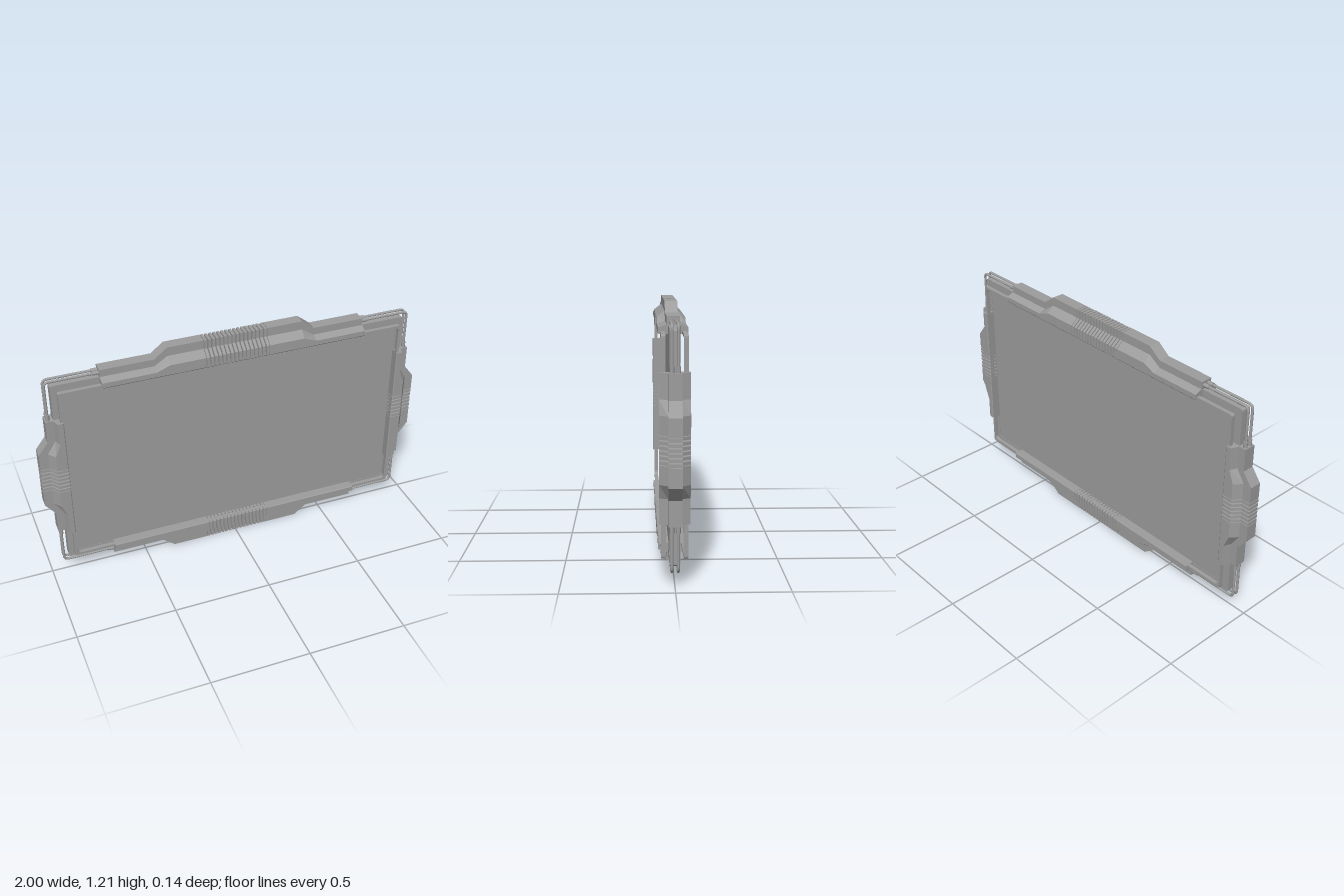
import * as THREE from 'three';

const CY = 0.605; // height of the panel centre

// Cross-section levels as [half depth, distance outward from the inner edge]
const END = [[0.065, 0], [0.068, 0.004], [0.068, 0.029], [0.03, 0.043], [0.03, 0.08]];
const MID = [[0.065, 0], [0.068, 0.004], [0.068, 0.055], [0.03, 0.085], [0.03, 0.13]];

const GREY = 0x9d9d9d;
const mat = new THREE.MeshStandardMaterial({ color: GREY, flatShading: true });
const smooth = new THREE.MeshStandardMaterial({ color: GREY });

function add(parent, name, geometry, material = mat) {
  const mesh = new THREE.Mesh(geometry, material);
  mesh.name = name;
  parent.add(mesh);
  return mesh;
}

// Solid lofted along x through stations [x, levels], starting at height `inner`
function loft(stations, inner) {
  const pos = [];
  const quad = (a, b, c, d) => pos.push(...a, ...b, ...c, ...a, ...c, ...d);
  const rings = stations.map(([x, levels]) => [
    ...levels.map(([w, h]) => [x, inner + h, w]),
    ...[...levels].reverse().map(([w, h]) => [x, inner + h, -w]),
  ]);
  const n = rings[0].length;
  for (let s = 0; s < rings.length - 1; s++) {
    for (let i = 0; i < n; i++) {
      const j = (i + 1) % n;
      quad(rings[s][i], rings[s + 1][i], rings[s + 1][j], rings[s][j]);
    }
  }
  const first = rings[0], last = rings[rings.length - 1];
  for (let k = 0; k < n / 2 - 1; k++) {
    quad(last[k], last[n - 1 - k], last[n - 2 - k], last[k + 1]);
    quad(first[k + 1], first[n - 2 - k], first[n - 1 - k], first[k]);
  }
  const g = new THREE.BufferGeometry();
  g.setAttribute('position', new THREE.Float32BufferAttribute(pos, 3));
  g.computeVertexNormals();
  return g;
}

// Two stepped housing halves with a row of cooling fins between them
function edgeHousing(name, { inner, length, slopeOut, slopeIn, finHalf, fins }) {
  const group = new THREE.Group();
  group.name = name;
  const half = [[finHalf, MID], [slopeIn, MID], [slopeOut, END], [length, END]];
  add(group, 'housingHalf', loft(half, inner));
  add(group, 'housingHalf', loft(half.map(([x, p]) => [-x, p]).reverse(), inner));
  const pitch = (2 * finHalf) / fins;
  for (let i = 0; i < fins; i++) {
    const x = -finHalf + (i + 0.5) * pitch, t = pitch * 0.35;
    add(group, 'coolingFin', loft([[x - t, MID], [x + t, MID]], inner));
  }
  return group;
}

function roundedRect(target, w, h, r) {
  target.moveTo(-w + r, -h);
  target.lineTo(w - r, -h).quadraticCurveTo(w, -h, w, -h + r);
  target.lineTo(w, h - r).quadraticCurveTo(w, h, w - r, h);
  target.lineTo(-w + r, h).quadraticCurveTo(-w, h, -w, h - r);
  target.lineTo(-w, -h + r).quadraticCurveTo(-w, -h, -w + r, -h);
  return target;
}

// Rectangular ring centred on depth z
function ring(w, h, iw, ih, depth, z) {
  const shape = roundedRect(new THREE.Shape(), w, h, 0.012);
  shape.holes.push(roundedRect(new THREE.Path(), iw, ih, 0.02));
  const g = new THREE.ExtrudeGeometry(shape, { depth, bevelEnabled: false, curveSegments: 4 });
  return g.translate(0, 0, z - depth / 2);
}

// Bent pipe and its two end connectors at one corner
function cornerPipe(sx, sy, z) {
  const group = new THREE.Group();
  group.name = 'cornerPipe';
  const px = 0.935, py = 0.535, r = 0.025;
  const v = (x, y) => new THREE.Vector3(sx * x, sy * y, z);
  const path = new THREE.CurvePath();
  path.add(new THREE.LineCurve3(v(0.66, py), v(px - r, py)));
  path.add(new THREE.QuadraticBezierCurve3(v(px - r, py), v(px, py), v(px, py - r)));
  path.add(new THREE.LineCurve3(v(px, py - r), v(px, 0.32)));
  add(group, 'pipe', new THREE.TubeGeometry(path, 80, 0.0065, 16), smooth);
  const a = add(group, 'pipeConnector', new THREE.CylinderGeometry(0.01, 0.01, 0.04, 16), smooth);
  a.rotation.z = Math.PI / 2;
  a.position.copy(v(0.685, py));
  const b = add(group, 'pipeConnector', new THREE.CylinderGeometry(0.01, 0.01, 0.04, 16), smooth);
  b.position.copy(v(px, 0.34));
  return group;
}

export function createModel() {
  const model = new THREE.Group();
  model.name = 'displayPanel';
  const body = new THREE.Group();
  body.name = 'panelBody';
  body.position.y = CY;
  model.add(body);

  // Screen, core frame and the raised rims in front and behind
  add(body, 'screen', new THREE.BoxGeometry(1.76, 0.97, 0.042));
  add(body, 'coreFrame', ring(0.91, 0.515, 0.875, 0.48, 0.046, 0));
  for (const z of [0.049, -0.049]) {
    add(body, z > 0 ? 'frontRim' : 'backRim', ring(0.884, 0.489, 0.871, 0.476, 0.02, z));
  }

  // Housings on all four edges
  const long = { inner: 0.475, length: 0.675, slopeOut: 0.41, slopeIn: 0.345, finHalf: 0.163, fins: 16 };
  const short = { inner: 0.87, length: 0.33, slopeOut: 0.215, slopeIn: 0.15, finHalf: 0.065, fins: 6 };
  ['topHousing', 'rightHousing', 'bottomHousing', 'leftHousing'].forEach((name, i) => {
    const housing = edgeHousing(name, i % 2 ? short : long);
    housing.rotation.z = (i * Math.PI) / 2;
    body.add(housing);
  });

  // A pair of pipes round each corner
  for (const sx of [1, -1]) for (const sy of [1, -1]) for (const z of [0.014, -0.014]) {
    body.add(cornerPipe(sx, sy, z));
  }
  return model;
}
